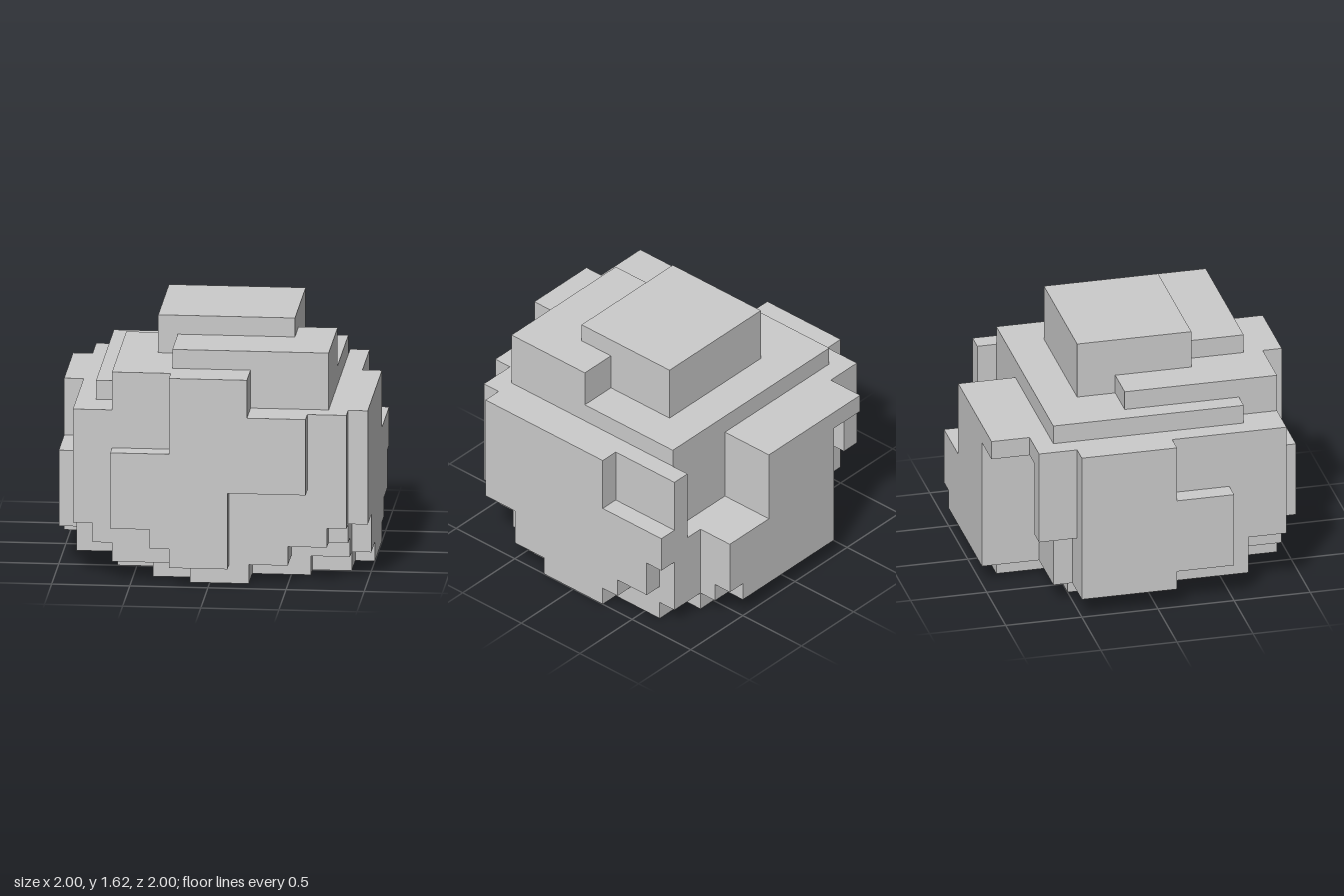
import * as THREE from 'three';

const U = 0.125; // size of one grid cell
const material = new THREE.MeshStandardMaterial({ color: 0xcccccc, flatShading: true });

// Box spanning x0..x1, y0..y1, z0..z1 in grid cells
function block([x0, x1, y0, y1, z0, z1]) {
  const geometry = new THREE.BoxGeometry((x1 - x0) * U, (y1 - y0) * U, (z1 - z0) * U);
  geometry.translate((x0 + x1) * U / 2, (y0 + y1) * U / 2, (z0 + z1) * U / 2);
  return new THREE.Mesh(geometry, material);
}

function part(name, blocks) {
  const group = new THREE.Group();
  group.name = name;
  blocks.forEach((b, i) => {
    const mesh = block(b);
    mesh.name = name + 'Block' + (i + 1);
    group.add(mesh);
  });
  return group;
}

export function createModel() {
  const model = new THREE.Group();
  model.name = 'blockyBoulder';

  // Stepped foot, one row per depth range
  model.add(part('base', [
    [-2, 2, 0, 1, -7, -6],
    [-2, 5, 0, 1, -6, -5],
    [-2, 7, 0, 1, -5, -4],
    [-5, 7, 0, 1, -4, -3],
    [-6, 7, 0, 1, -3, -2],
    [-6, 8, 0, 1, -2, 1],
    [-5, 8, 0, 1, 1, 2],
    [-5, 7, 0, 1, 2, 4],
    [-3, 5, 0, 1, 4, 5],
    [-3, 2, 0, 1, 5, 6],
    [-1, 2, 0, 1, 6, 7],
  ]));

  // Main mass, with its front stepping in towards the foot
  model.add(part('body', [
    [-7, 7, 1, 9, -4, 5],
    [-7, 7, 3, 9, 5, 7],
    [-6, 7, 2, 3, 5, 6],
    [-6, 6, 2, 3, 6, 7],
    [-5, 4, 1, 2, 5, 7],
  ]));

  // Raised front patch
  model.add(part('frontPatch', [
    [-5, -3, 3, 7, 7, 8],
    [-3, -2, 2, 7, 7, 8],
    [-2, 1, 1, 9, 7, 8],
    [1, 5, 5, 9, 7, 8],
    [-2, 2, 9, 11, 6, 8],
  ]));

  // Back wall with pocket, recess, overhang and corner pillar
  model.add(part('back', [
    [-6, 7, 1, 9, -5, -4],
    [-3, 2, 1, 9, -6, -5],
    [2, 6, 1, 5, -6, -5],
    [6, 7, 1, 9, -6, -5],
    [-7, -6, 4, 9, -6, -4],
    [-6, -3, 8, 9, -6, -5],
    [-5, -3, 8, 9, -8, -6],
    [-3, 2, 1, 9, -8, -6],
    [2, 4, 1, 5, -8, -6],
    [4, 5, 1, 5, -7, -6],
    [4, 5, 2, 5, -8, -7],
  ]));

  // Side plates
  model.add(part('leftPlate', [
    [7, 8, 3, 9, 4, 6],
    [7, 8, 1, 9, -2, 4],
    [7, 8, 1, 6, -3, -2],
    [7, 8, 2, 6, -5, -3],
    [7, 8, 4, 6, -6, -5],
  ]));
  model.add(part('rightPlate', [
    [-8, -7, 1, 9, -4, 1],
    [-8, -7, 2, 6, 1, 4],
  ]));

  // Stepped top
  model.add(part('top', [
    [-6, 6, 9, 10, -5, 5],
    [-5, -2, 9, 11, -1, 7],
    [-2, 6, 9, 12, 1, 6],
    [-3, 4, 10, 13, -3, 3],
  ]));

  return model;
}
